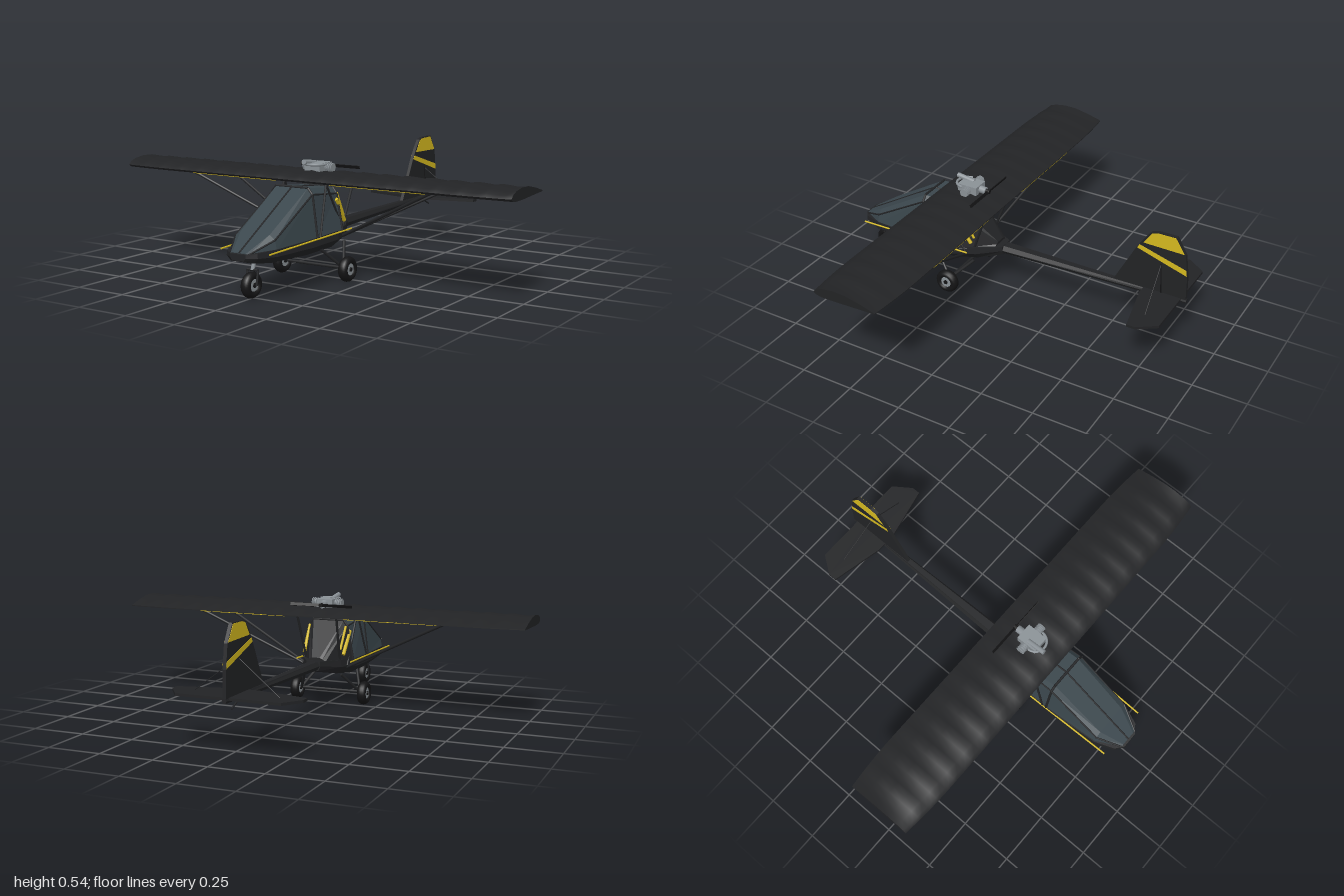
import * as THREE from 'three';
import { toCreasedNormals } from 'three/addons/utils/BufferGeometryUtils.js';

const V = (x, y, z) => new THREE.Vector3(x, y, z);
const mat = (color, flatShading = false) => new THREE.MeshStandardMaterial({ color, flatShading });
const DARK = mat(0x222325), BODY = mat(0x222325, true), GLASS = mat(0x3a464c, true);
const YELLOW = mat(0xd4b81f), METAL = mat(0x8a9196), BLACK = mat(0x141415);

export function createModel() {
  const root = new THREE.Group();

  const add = (name, geo, material, parent = root) => {
    const m = new THREE.Mesh(geo, material);
    m.name = name;
    parent.add(m);
    return m;
  };

  // Skin closed rings of points and cap both ends, facing outwards
  const loft = (rings) => {
    const n = rings[0].length, pts = rings.flat(), tris = [];
    for (let i = 0; i < rings.length - 1; i++)
      for (let j = 0; j < n; j++) {
        const a = i * n + j, b = i * n + (j + 1) % n;
        tris.push([a, b, b + n], [a, b + n, a + n]);
      }
    const last = (rings.length - 1) * n;
    for (let j = 1; j < n - 1; j++) tris.push([0, j + 1, j], [last, last + j, last + j + 1]);
    const c = pts[0];
    let volume = 0;
    for (const [i, j, k] of tris)
      volume += pts[i].clone().sub(c).dot(pts[j].clone().sub(c).cross(pts[k].clone().sub(c)));
    const g = new THREE.BufferGeometry().setFromPoints(pts);
    g.setIndex(tris.flatMap(([i, j, k]) => (volume > 0 ? [i, j, k] : [i, k, j])));
    return toCreasedNormals(g, 0.6);
  };

  // Mirror half a cross-section [x, y] into a full ring at z
  const ring = (z, half) => [
    ...half.map(([x, y]) => V(x, y, z)),
    ...half.slice().reverse().map(([x, y]) => V(-x, y, z)),
  ];

  // Round bar between two points
  const rod = (name, a, b, r = 0.006, material = DARK, parent = root) => {
    const d = b.clone().sub(a);
    const m = add(name, new THREE.CylinderGeometry(r, r, d.length(), 8), material, parent);
    m.position.copy(a).lerp(b, 0.5);
    m.quaternion.setFromUnitVectors(V(0, 1, 0), d.normalize());
    return m;
  };

  const extrude = (points, depth) => new THREE.ExtrudeGeometry(
    new THREE.Shape(points.map(([u, v]) => new THREE.Vector2(u, v))),
    { depth, bevelEnabled: false }).translate(0, 0, -depth / 2);
  // Upright plate drawn as [z, y]
  const sidePlate = (points, depth) => extrude(points, depth).rotateY(-Math.PI / 2);

  // Hull and tail boom: z, half width, bottom, top
  add('hull', loft([
    [0.85, 0.04, 0.175, 0.203], [0.82, 0.08, 0.165, 0.208], [0.73, 0.118, 0.155, 0.214],
    [0.5, 0.136, 0.148, 0.22], [0.3, 0.136, 0.15, 0.225], [0.18, 0.1, 0.165, 0.232], [0.07, 0.036, 0.192, 0.238],
  ].map(([z, w, b, t]) => ring(z, [[w * 0.72, b], [w, b + (t - b) * 0.5], [w * 0.97, t]]))), BODY);
  add('tailBoom', loft([[0.09, 0.034, 0.195, 0.236], [-0.85, 0.01, 0.222, 0.242]]
    .map(([z, w, b, t]) => ring(z, [[w * 0.6, b], [w, (b + t) / 2], [w * 0.6, t]]))), BODY);

  // Cabin: z, base half width, base y, shoulder half width, shoulder y, top half width, top y
  const cabin = [
    [0.84, 0.05, 0.2, 0.048, 0.203, 0.035, 0.207],
    [0.73, 0.11, 0.21, 0.102, 0.252, 0.075, 0.272],
    [0.46, 0.13, 0.218, 0.105, 0.405, 0.082, 0.432],
    [0.26, 0.13, 0.222, 0.098, 0.385, 0.078, 0.412],
    [0.1, 0.05, 0.232, 0.035, 0.244, 0.02, 0.25],
  ];
  const cabinHalf = ([, a, b, c, d, e, f]) => [[a, b], [c, d], [e, f]];
  const cabinRings = cabin.map((s) => ring(s[0], cabinHalf(s)));
  add('canopyGlass', loft(cabinRings.slice(0, 4)), GLASS);
  add('rearCabin', loft(cabinRings.slice(3)), BODY);

  // Canopy frame along the edges, centre line and hoops
  const frame = new THREE.Group();
  frame.name = 'canopyFrame';
  root.add(frame);
  for (let i = 0; i < 3; i++) {
    for (const j of [1, 4]) rod('edgeBar', cabinRings[i][j], cabinRings[i + 1][j], 0.004, DARK, frame);
    const mid = (k) => V(0, cabin[k][6], cabin[k][0]);
    rod('centreBar', mid(i), mid(i + 1), 0.004, DARK, frame);
  }
  for (const r of cabinRings.slice(2, 4))
    for (let j = 0; j < 5; j++) rod('hoopBar', r[j], r[j + 1], 0.006, DARK, frame);

  // Wing with fabric sagging between ribs; profile as [z, y]
  const upper = [[0.41, 0.452], [0.395, 0.467], [0.36, 0.479], [0.3, 0.487], [0.23, 0.485], [0.15, 0.47], [0.07, 0.45]];
  const lower = [[0.07, 0.446], [0.18, 0.442], [0.3, 0.437], [0.37, 0.437], [0.4, 0.443]];
  const wingRings = [];
  const bays = 18, steps = 4;
  for (let i = 0; i <= bays * steps; i++) {
    const x = -1 + (2 * i) / (bays * steps);
    const tip = Math.max(0, (Math.abs(x) - 0.72) / 0.28);
    const chord = 1 - 0.09 * tip * tip;
    const sag = 1 - 0.18 * Math.sin((Math.PI * (i % steps)) / steps);
    wingRings.push([
      ...upper.map(([z, y]) => V(x, 0.45 + (y - 0.45) * sag, 0.24 + (z - 0.24) * chord)),
      ...lower.map(([z, y]) => V(x, y, 0.24 + (z - 0.24) * chord)),
    ]);
  }
  add('wing', loft(wingRings), DARK);
  for (const s of [-1, 1])
    add('wingUndersidePanel', loft([0.15, 0.6].map((x) => [
      ...lower.map(([z, y]) => V(s * x, y - 0.002, z)),
      ...lower.slice().reverse().map(([z, y]) => V(s * x, y + 0.001, z)),
    ])), YELLOW);

  // Fin with yellow cap and band, and tailplane
  add('fin', sidePlate([[-0.495, 0.235], [-0.6, 0.44], [-0.635, 0.495], [-0.665, 0.533], [-0.7, 0.542],
    [-0.785, 0.543], [-0.83, 0.465], [-0.845, 0.36], [-0.847, 0.24]], 0.016), DARK);
  add('finCap', sidePlate([[-0.63, 0.472], [-0.67, 0.53], [-0.7, 0.538], [-0.78, 0.539], [-0.825, 0.469]], 0.019), YELLOW);
  add('finBand', sidePlate([[-0.603, 0.438], [-0.613, 0.457], [-0.838, 0.392], [-0.843, 0.363]], 0.019), YELLOW);
  const halfTail = [[0.05, -0.645], [0.3, -0.7], [0.3, -0.74], [0.24, -0.825]];
  add('tailplane', extrude([...halfTail, ...halfTail.slice().reverse().map(([x, z]) => [-x, z])], 0.012)
    .rotateX(Math.PI / 2).translate(0, 0.236, 0), DARK);
  rod('tailSkid', V(0, 0.235, -0.68), V(0, 0.187, -0.785), 0.004);
  rod('rudderPost', V(0.009, 0.39, -0.72), V(0.009, 0.24, -0.73), 0.003, BLACK);

  // Wheel with rounded tyre and metal hub
  const wheel = (name, x, z) => {
    const g = new THREE.Group();
    g.name = name;
    g.position.set(x, 0.057, z);
    const tyre = add('tyre', new THREE.TorusGeometry(0.039, 0.018, 12, 32).rotateY(Math.PI / 2), BLACK, g);
    tyre.scale.x = 1.25;
    add('hub', new THREE.CylinderGeometry(0.03, 0.03, 0.03, 24).rotateZ(Math.PI / 2), METAL, g);
    add('hubCap', new THREE.CylinderGeometry(0.01, 0.01, 0.04, 12).rotateZ(Math.PI / 2), BLACK, g);
    root.add(g);
  };
  wheel('noseWheel', 0, 0.76);
  rod('noseLeg', V(0, 0.17, 0.735), V(0, 0.118, 0.75), 0.009, METAL);
  rod('noseForkTop', V(-0.027, 0.12, 0.75), V(0.027, 0.12, 0.75), 0.006);
  rod('mainAxle', V(-0.175, 0.06, 0.29), V(0.175, 0.06, 0.29), 0.007);

  // Parts repeated on both sides
  for (const s of [-1, 1]) {
    const bar = (name, a, b, r, m) => rod(name, V(a[0] * s, a[1], a[2]), V(b[0] * s, b[1], b[2]), r, m);
    wheel('mainWheel', s * 0.176, 0.29);
    bar('noseFork', [0.027, 0.12, 0.75], [0.027, 0.057, 0.76], 0.005);
    bar('frontGearLeg', [0.1, 0.155, 0.39], [0.155, 0.06, 0.29], 0.007);
    bar('rearGearLeg', [0.095, 0.16, 0.19], [0.155, 0.06, 0.29], 0.007);
    bar('frontWingStrut', [0.11, 0.19, 0.24], [0.62, 0.44, 0.36], 0.007);
    bar('rearWingStrut', [0.11, 0.19, 0.23], [0.62, 0.445, 0.12], 0.007);
    bar('frontCabaneStrut', [0.132, 0.215, 0.44], [0.11, 0.445, 0.36], 0.005);
    bar('middleCabaneStrut', [0.11, 0.44, 0.36], [0.115, 0.2, 0.22], 0.005);
    bar('rearCabaneStrut', [0.085, 0.2, 0.2], [0.1, 0.45, 0.11], 0.006);
    bar('tailBrace', [0, 0.39, -0.72], [0.2, 0.238, -0.74], 0.002);
    bar('hullStripe', [0.125, 0.205, 0.8], [0.14, 0.222, 0.2], 0.004, YELLOW);
    bar('cabinStripe', [0.106, 0.362, 0.275], [0.102, 0.255, 0.2], 0.009, YELLOW);
    bar('cabinStripeRear', [0.094, 0.385, 0.25], [0.09, 0.28, 0.19], 0.006, YELLOW);
  }

  // Engine above the wing with a pusher propeller
  const engine = new THREE.Group();
  engine.name = 'engine';
  root.add(engine);
  add('crankcase', new THREE.BoxGeometry(0.08, 0.04, 0.1), METAL, engine).position.set(0, 0.497, 0.255);
  for (const s of [-1, 1]) {
    rod('cylinder', V(s * 0.03, 0.497, 0.25), V(s * 0.065, 0.497, 0.25), 0.016, METAL, engine);
    for (let i = 0; i < 4; i++)
      rod('coolingFin', V(s * (0.045 + i * 0.009), 0.497, 0.25), V(s * (0.049 + i * 0.009), 0.497, 0.25), 0.021, METAL, engine);
  }
  add('exhaustLoop', new THREE.TorusGeometry(0.05, 0.006, 8, 24, Math.PI).rotateX(Math.PI / 2), METAL, engine)
    .position.set(0, 0.512, 0.275);
  rod('muffler', V(-0.02, 0.525, 0.34), V(-0.02, 0.512, 0.25), 0.012, METAL, engine);
  rod('gearbox', V(0, 0.497, 0.21), V(0, 0.493, 0.175), 0.018, METAL, engine);
  for (const x of [-0.03, 0.03]) rod('engineMount', V(x, 0.47, 0.24), V(x, 0.485, 0.25), 0.008, DARK, engine);
  rod('propellerHub', V(0, 0.493, 0.18), V(0, 0.493, 0.155), 0.01, BLACK, engine);
  for (const s of [-1, 1]) {
    const blade = add('propellerBlade', new THREE.BoxGeometry(0.155, 0.014, 0.004), BLACK, engine);
    blade.position.set(s * 0.08, 0.493, 0.162);
    blade.rotation.x = s * 0.4;
  }
  return root;
}
